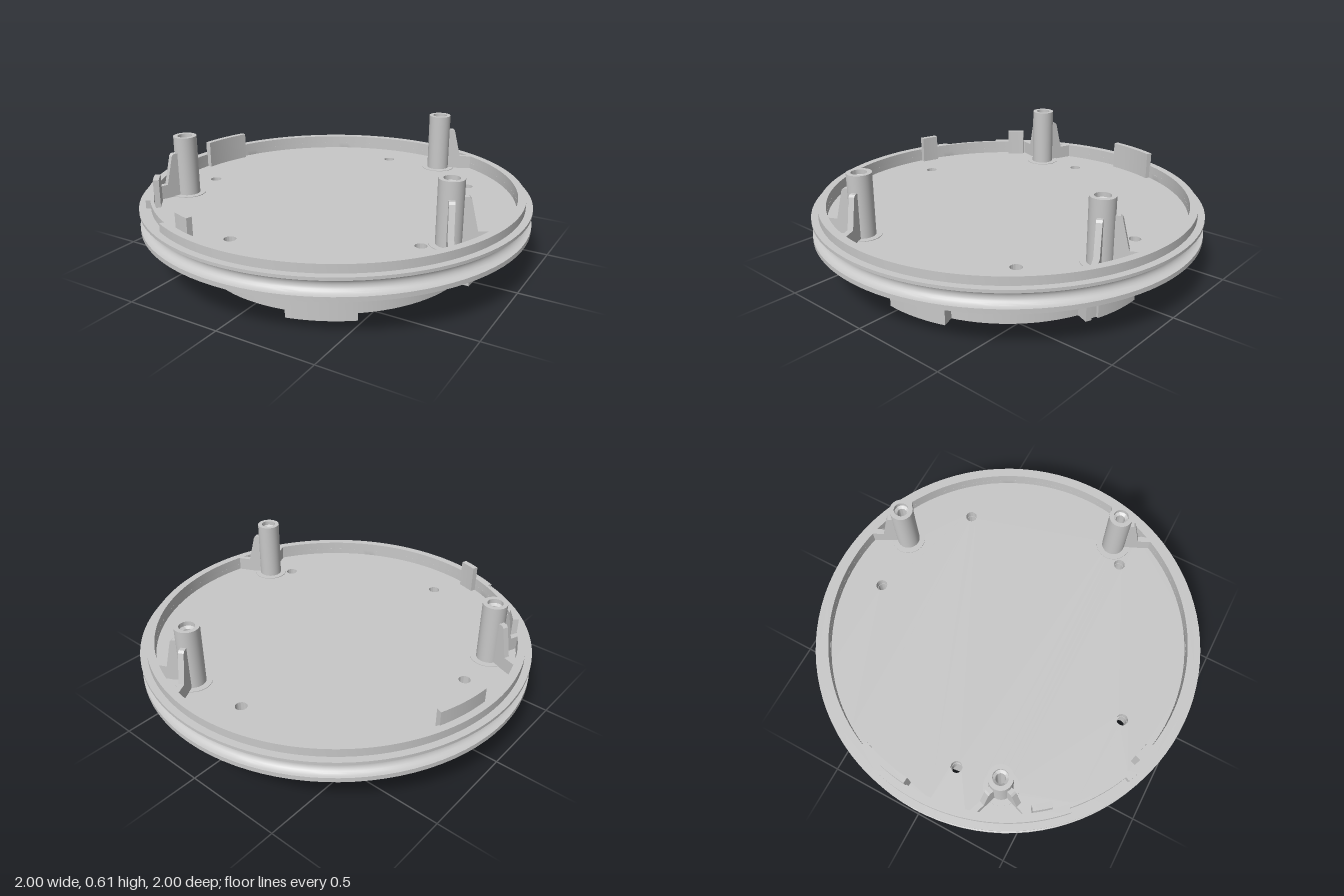
import * as THREE from 'three';
import { toCreasedNormals } from 'three/addons/utils/BufferGeometryUtils.js';

const rad = THREE.MathUtils.degToRad;
const FLOOR = 0.295, UNDER = 0.25, RIM = 0.325, LIP = 0.367;
const grey = new THREE.MeshStandardMaterial({ color: 0xc8c8c8 });
grey.name = 'grey plastic';

export function createModel() {
  const model = new THREE.Group();
  model.name = 'roundHousing';

  const add = (name, geometry, parent = model) => {
    const mesh = new THREE.Mesh(toCreasedNormals(geometry, 0.5), grey);
    mesh.name = name;
    parent.add(mesh);
    return mesh;
  };
  // Closed (radius, y) profile, listed outside upward then inside downward
  const lathe = (points, segments) =>
    new THREE.LatheGeometry([...points, points[0]].map(([r, y]) => new THREE.Vector2(r, y)), segments);
  // Plan shape (x, z) raised between two heights
  const slab = (shape, y0, y1, curveSegments) =>
    new THREE.ExtrudeGeometry(shape, { depth: y1 - y0, bevelEnabled: false, curveSegments })
      .rotateX(Math.PI / 2).translate(0, y1, 0);
  // Ring sector between two angles, measured from +x towards +z
  const sector = (r0, r1, a0, a1, y0, y1) => {
    const s = new THREE.Shape();
    s.absarc(0, 0, r1, rad(a0), rad(a1), false);
    s.absarc(0, 0, r0, rad(a1), rad(a0), true);
    s.closePath();
    return slab(s, y0, y1, Math.max(6, Math.round((a1 - a0) / 3.75)));
  };
  const hole = (x, z, r) => new THREE.Path().absarc(x, z, r, 0, Math.PI * 2, true);

  const posts = [[0.25, -0.752], [0.742, 0.262], [-0.713, 0.34]];
  const bosses = [[0.53, -0.511], [0.647, 0.345], [-0.13, 0.72], [-0.728, 0.098], [-0.062, -0.737]];

  // Thin floor plate with screw holes
  const plate = new THREE.Shape().absarc(0, 0, 0.926, 0, Math.PI * 2, false);
  for (const [x, z] of bosses) plate.holes.push(hole(x, z, 0.029));
  for (const [x, z] of posts) plate.holes.push(hole(x, z, 0.024));
  add('floorPlate', slab(plate, UNDER, FLOOR, 48));

  // Grooved rim, reaching below the plate
  const rim = [[0.935, 0.215], [1, 0.215], [1, 0.238]];
  for (let i = 1; i < 12; i++) {
    const t = i / 12 * Math.PI;
    rim.push([1 - 0.04 * Math.sin(t), 0.274 - 0.036 * Math.cos(t)]);
  }
  rim.push([1, 0.31], [1, RIM], [0.925, RIM], [0.925, UNDER + 0.01], [0.917, UNDER]);
  add('groovedRim', lathe(rim, 96));

  // Upper lip, thinner across the notch
  add('upperLip', sector(0.925, 0.965, 134, 475, RIM, LIP));
  add('notchedLip', sector(0.925, 0.942, 115, 134, RIM, LIP));

  // Upright locating tabs inside the lip
  for (const [r0, r1, a0, a1] of [[0.9, 0.93, 184, 201], [0.897, 0.926, 103.5, 109.5], [0.897, 0.926, 139, 145]])
    add('locatingTab', sector(r0, r1, a0, a1, FLOOR, 0.44));

  // Lower skirt with a rounded inside bead under the plate
  const skirt = [[0.677, 0], [0.712, 0], [0.712, UNDER], [0.637, UNDER]];
  for (let i = 0; i <= 6; i++) {
    const t = i / 6 * Math.PI / 2;
    skirt.push([0.677 - 0.04 * Math.cos(t), 0.215 - 0.04 * Math.sin(t)]);
  }
  add('lowerSkirt', lathe(skirt, 96));

  // Five lugs on the skirt, the last one grooved below a post hole
  for (const [r1, a0, a1] of [[0.777, 52, 76], [0.777, 124, 148], [0.777, 196, 220], [0.777, 340, 364],
    [0.777, 268, 287], [0.763, 287, 289.8], [0.777, 289.8, 292]])
    add('skirtLug', sector(0.705, r1, a0, a1, 0, UNDER));

  // Hollow screw bosses under the plate, joined to the skirt by cheeks
  const bossHeight = UNDER - 0.172;
  for (const [x, z] of bosses) {
    const boss = new THREE.Group();
    boss.name = 'screwBoss';
    boss.position.set(x, 0.172, z);
    boss.rotation.y = -Math.atan2(z, x);
    model.add(boss);
    add('bossTube', lathe([[0.027, 0], [0.06, 0], [0.06, bossHeight], [0.027, bossHeight]], 32), boss);
    for (const side of [-1, 1])
      add('bossCheek', new THREE.BoxGeometry(0.04, bossHeight, 0.02)
        .translate(-0.02, bossHeight / 2, side * 0.05), boss);
  }

  // Hollow posts, each braced to the wall by two gussets
  const gusset = new THREE.Shape([[0.045, FLOOR], [0.19, FLOOR], [0.19, LIP], [0.125, LIP],
    [0.09, 0.515], [0.08, 0.525], [0.045, 0.525]].map(([d, y]) => new THREE.Vector2(d, y)));
  for (const [x, z] of posts) {
    const post = new THREE.Group();
    post.name = 'post';
    post.position.set(x, 0, z);
    model.add(post);
    add('postTube', lathe([[0.024, UNDER], [0.06, UNDER + 0.01], [0.06, 0.607], [0.038, 0.607],
      [0.038, 0.585], [0.024, 0.575]], 32), post);
    add('postFoot', lathe([[0.05, FLOOR - 0.01], [0.09, FLOOR - 0.01], [0.09, FLOOR + 0.003], [0.05, FLOOR + 0.003]], 32), post);
    for (const side of [-45, 45]) {
      const g = new THREE.ExtrudeGeometry(gusset, { depth: 0.028, bevelEnabled: false }).translate(0, 0, -0.014);
      add('postGusset', g, post).rotation.y = -(Math.atan2(z, x) + rad(side));
    }
  }
  return model;
}
